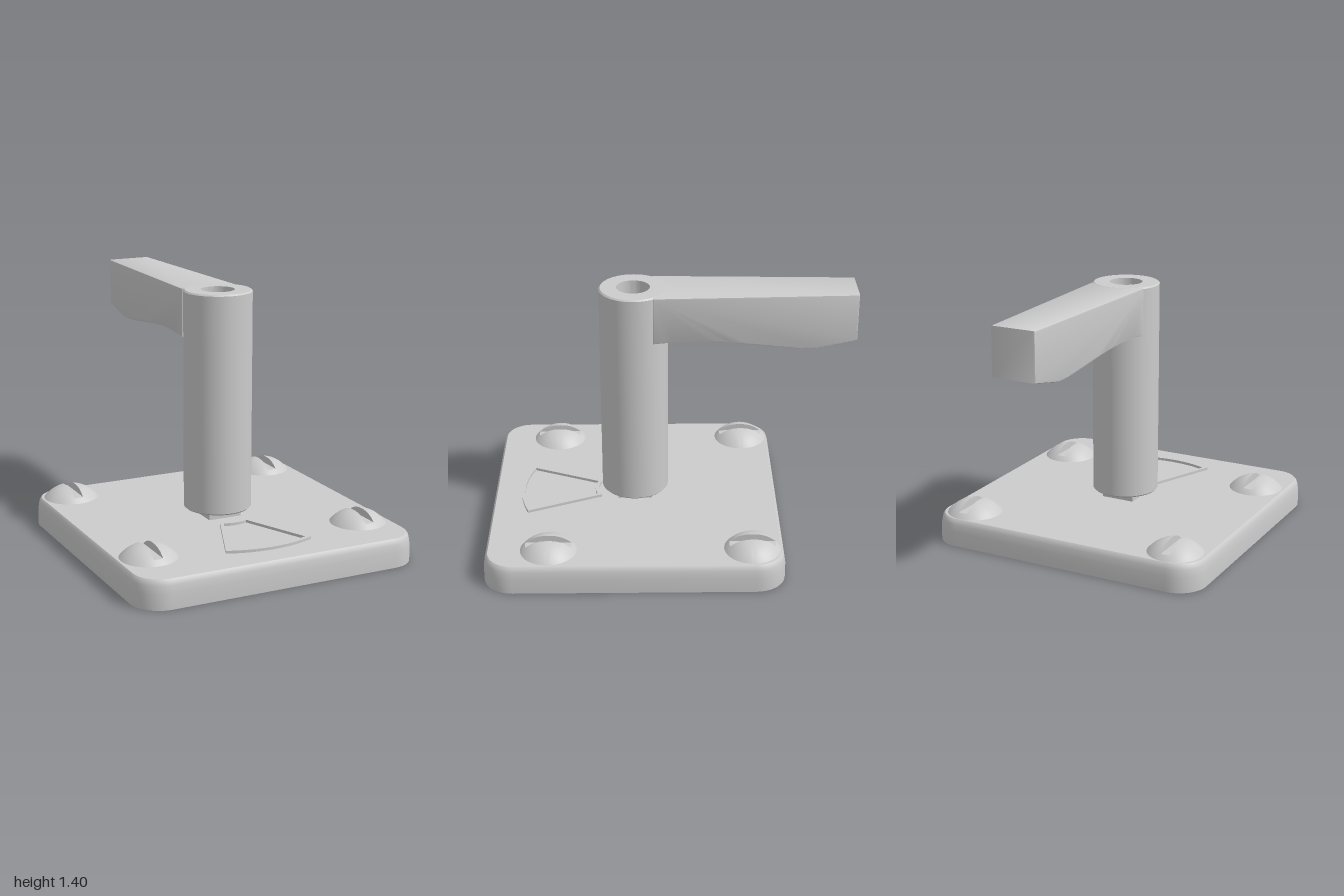
import * as THREE from 'three';
import { toCreasedNormals } from 'three/addons/utils/BufferGeometryUtils.js';

const solid = new THREE.MeshStandardMaterial({ color: 0xcccccc });
const thin = new THREE.MeshStandardMaterial({ color: 0xcccccc, side: THREE.DoubleSide });
const PLATE_TOP = 0.155;
const SCREWS = [[-0.62, -0.63], [0.62, -0.63], [-0.62, 0.46], [0.62, 0.46]];

function part(name, geometry, material = solid, crease = 0.6) {
  const mesh = new THREE.Mesh(toCreasedNormals(geometry, crease), material);
  mesh.name = name;
  return mesh;
}

// Rounded square outline, counterclockwise
function roundedSquare(half, radius, steps = 10) {
  const points = [];
  [[1, 1], [-1, 1], [-1, -1], [1, -1]].forEach(([sx, sy], k) => {
    for (let i = 0; i <= steps; i++) {
      const a = (k + i / steps) * Math.PI / 2;
      points.push(new THREE.Vector2(
        sx * (half - radius) + radius * Math.cos(a),
        sy * (half - radius) + radius * Math.sin(a)));
    }
  });
  return points;
}

// Hollow plate: skirt lofted through a few outlines, open underneath
function plateSkirt(levels) {
  const position = [], index = [];
  levels.forEach(([half, radius, y]) =>
    roundedSquare(half, radius).forEach(p => position.push(p.x, y, -p.y)));
  const n = position.length / 3 / levels.length;
  for (let j = 0; j < levels.length - 1; j++) {
    for (let i = 0; i < n; i++) {
      const a = j * n + i, b = j * n + (i + 1) % n;
      index.push(a, b, a + n, b, b + n, a + n);
    }
  }
  const g = new THREE.BufferGeometry();
  g.setAttribute('position', new THREE.Float32BufferAttribute(position, 3));
  g.setIndex(index);
  return g;
}

function plateTop(half, radius) {
  const shape = new THREE.Shape(roundedSquare(half, radius));
  for (const [x, z] of SCREWS) {
    shape.holes.push(new THREE.Path().absarc(x, -z, 0.147, 0, Math.PI * 2, true));
  }
  return new THREE.ShapeGeometry(shape, 16).rotateX(-Math.PI / 2).translate(0, PLATE_TOP, 0);
}

// Domed screw head; doubled grid columns at the slot edges form its walls
function screwHead(r = 0.152, h = 0.07, w = 0.026, floor = 0.027) {
  const side = [];
  for (let i = 0; i <= 12; i++) side.push(w + (r - w) * Math.sin(i / 12 * Math.PI / 2));
  const columns = [
    ...side.slice().reverse().map(x => [-x, h]),
    [-w, floor], [0, floor], [w, floor],
    ...side.map(x => [x, h])];
  const rows = 36, n = columns.length;
  const g = new THREE.PlaneGeometry(1, 1, n - 1, rows);
  for (let j = 0; j <= rows; j++) {
    const t = Math.sin((j / rows - 0.5) * Math.PI);
    columns.forEach(([x, limit], i) => {
      const z = t * Math.sqrt(Math.max(0, r * r - x * x));
      const y = h * (1 - Math.pow(Math.min(1, Math.hypot(x, z) / r), 2.5));
      g.attributes.position.setXYZ(j * n + i, x, Math.min(y, limit), z);
    });
  }
  return g;
}

// Ring sector facing +z once laid flat
function sector(PathType, r0, r1, a, cy = 0) {
  const mid = -Math.PI / 2;
  return new PathType()
    .absarc(0, cy, r1, mid - a, mid + a, false)
    .absarc(0, cy, r0, mid + a, mid - a, true)
    .closePath();
}

function windowFrame() {
  const shape = sector(THREE.Shape, 0.206, 0.645, 0.398);
  shape.holes.push(sector(THREE.Path, 0.175, 0.573, 0.398, -0.052));
  return new THREE.ExtrudeGeometry(shape, { depth: 0.09, bevelEnabled: false, curveSegments: 16 })
    .rotateX(-Math.PI / 2).translate(0, 0.08, 0);
}

// Upright post with a blind bore in its top
function post() {
  const profile = [
    [0, 0.2], [0.177, 0.2], [0.185, 0.208], [0.185, 1.397], [0.177, 1.405],
    [0.09, 1.405], [0.09, 1.25], [0, 1.25]];
  return new THREE.LatheGeometry(profile.map(p => new THREE.Vector2(...p)), 64);
}

// Lever arm: side profile extruded across x, then tapered towards the tip
function lever() {
  const b = 0.01, top = 1.404 - b, tip = -1 + b;
  const s = new THREE.Shape();
  s.moveTo(0.08, top);
  s.lineTo(tip, top);
  s.lineTo(tip, 1.14 + b);
  s.lineTo(-0.8, 1.1 + b);
  s.bezierCurveTo(-0.74, 1.088 + b, -0.6, 1.108 + b, -0.45, 1.125 + b);
  s.bezierCurveTo(-0.28, 1.146 + b, -0.12, 1.16 + b, 0.08, 1.14 + b);
  s.closePath();
  const g = new THREE.ExtrudeGeometry(s, {
    depth: 2 - 2 * b, bevelThickness: b * 6, bevelSize: b, bevelSegments: 2, curveSegments: 12 });
  g.translate(0, 0, -1 + b).rotateY(-Math.PI / 2);
  const p = g.attributes.position;
  g.computeBoundingBox();
  const reach = g.boundingBox.max.x;
  for (let i = 0; i < p.count; i++) {
    const halfWidth = 0.163 - 0.038 * (0.1 - p.getZ(i)) / 1.1;
    p.setX(i, p.getX(i) / reach * halfWidth);
  }
  return g;
}

export function createModel() {
  const model = new THREE.Group();
  model.name = 'crankOnPlate';

  // Everything but the lever is laid out around the post axis
  const mount = new THREE.Group();
  mount.name = 'mount';
  mount.position.z = 0.195;
  model.add(mount);

  mount.add(part('plateSkirt', plateSkirt([
    [0.805, 0.16, 0], [0.805, 0.16, 0.085], [0.799, 0.155, 0.125],
    [0.793, 0.15, 0.145], [0.784, 0.142, PLATE_TOP]]), thin));
  mount.add(part('plateTop', plateTop(0.784, 0.142), thin));

  const headGeometry = screwHead();
  for (const [x, z] of SCREWS) {
    const head = part('screwHead', headGeometry, thin, 0.5);
    head.position.set(x, PLATE_TOP, z);
    mount.add(head);
  }

  mount.add(part('windowFrame', windowFrame()));

  // Square shaft, open below the plate
  const shaft = new THREE.CylinderGeometry(0.095 * Math.SQRT2, 0.095 * Math.SQRT2, 0.125, 4, 1, true)
    .rotateY(Math.PI / 4).translate(0, 0.1425, 0);
  mount.add(part('squareShaft', shaft, thin));

  mount.add(part('post', post()));
  model.add(part('lever', lever()));
  return model;
}
